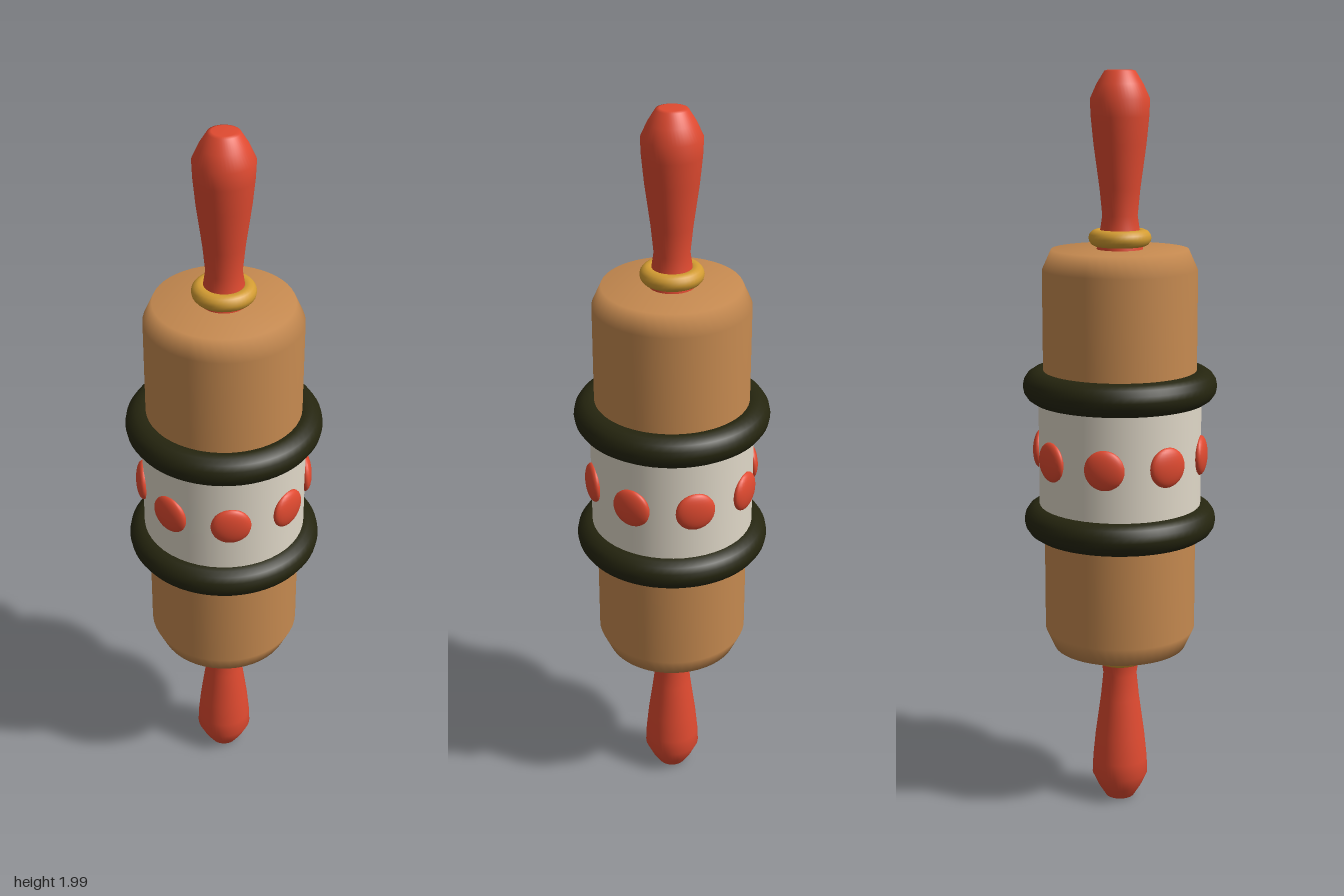
import * as THREE from 'three';

const colour = (name, hex) => {
  const m = new THREE.MeshStandardMaterial({ color: hex });
  m.name = name;
  return m;
};

export function createModel() {
  const wood = colour('wood', 0xc68a50);
  const red = colour('red paint', 0xe04a30);
  const dark = colour('dark rubber', 0x25250f);
  const cream = colour('cream paint', 0xe0d8c8);
  const gold = colour('gold', 0xd39c32);

  const model = new THREE.Group();
  model.name = 'rollingPin';
  const add = (name, geometry, material, parent = model) => {
    const mesh = new THREE.Mesh(geometry, material);
    mesh.name = name;
    parent.add(mesh);
    return mesh;
  };
  const lathe = (points) =>
    new THREE.LatheGeometry(points.map(([r, y]) => new THREE.Vector2(r, y)), 48);

  // Everything is built around the middle of the pin, then lifted
  const pin = new THREE.Group();
  pin.name = 'pin';
  pin.position.set(0.002, 1.003, -0.004);
  model.add(pin);

  // Wooden roller with bevelled ends
  add('roller', lathe([
    [0, -0.543], [0.18, -0.543], [0.204, -0.49],
    [0.204, 0.49], [0.18, 0.543], [0, 0.543],
  ]), wood, pin);

  // Painted middle band
  add('band', new THREE.CylinderGeometry(0.217, 0.217, 0.37, 48), cream, pin);

  // Handle, collar and rubber ring, turned over for the lower end
  const handleShape = lathe([
    [0.062, 0.53], [0.06, 0.55], [0.052, 0.59], [0.046, 0.63], [0.053, 0.7],
    [0.068, 0.81], [0.075, 0.88], [0.077, 0.925], [0.06, 0.962],
    [0.04, 0.994], [0.03, 0.997], [0, 0.997],
  ]);
  for (const [side, turn] of [['upper', 0], ['lower', Math.PI]]) {
    const end = new THREE.Group();
    end.name = side + 'End';
    end.rotation.x = turn;
    pin.add(end);
    add(side + 'Handle', handleShape, red, end);

    const collar = add(side + 'Collar', new THREE.TorusGeometry(0.06, 0.022, 14, 40), gold, end);
    collar.rotation.x = Math.PI / 2;
    collar.position.y = 0.572;

    const ring = add(side + 'Ring', new THREE.TorusGeometry(0.214, 0.044, 16, 64), dark, end);
    ring.rotation.x = Math.PI / 2;
    ring.position.y = 0.183;
  }

  // Eight flattened studs around the band
  const studShape = new THREE.SphereGeometry(0.053, 24, 16).scale(1, 1, 0.36);
  for (let i = 0; i < 8; i++) {
    const a = (i * Math.PI) / 4;
    const stud = add('stud' + (i + 1), studShape, red, pin);
    stud.position.set(Math.sin(a) * 0.217, 0, Math.cos(a) * 0.217);
    stud.rotation.y = a;
  }

  return model;
}
